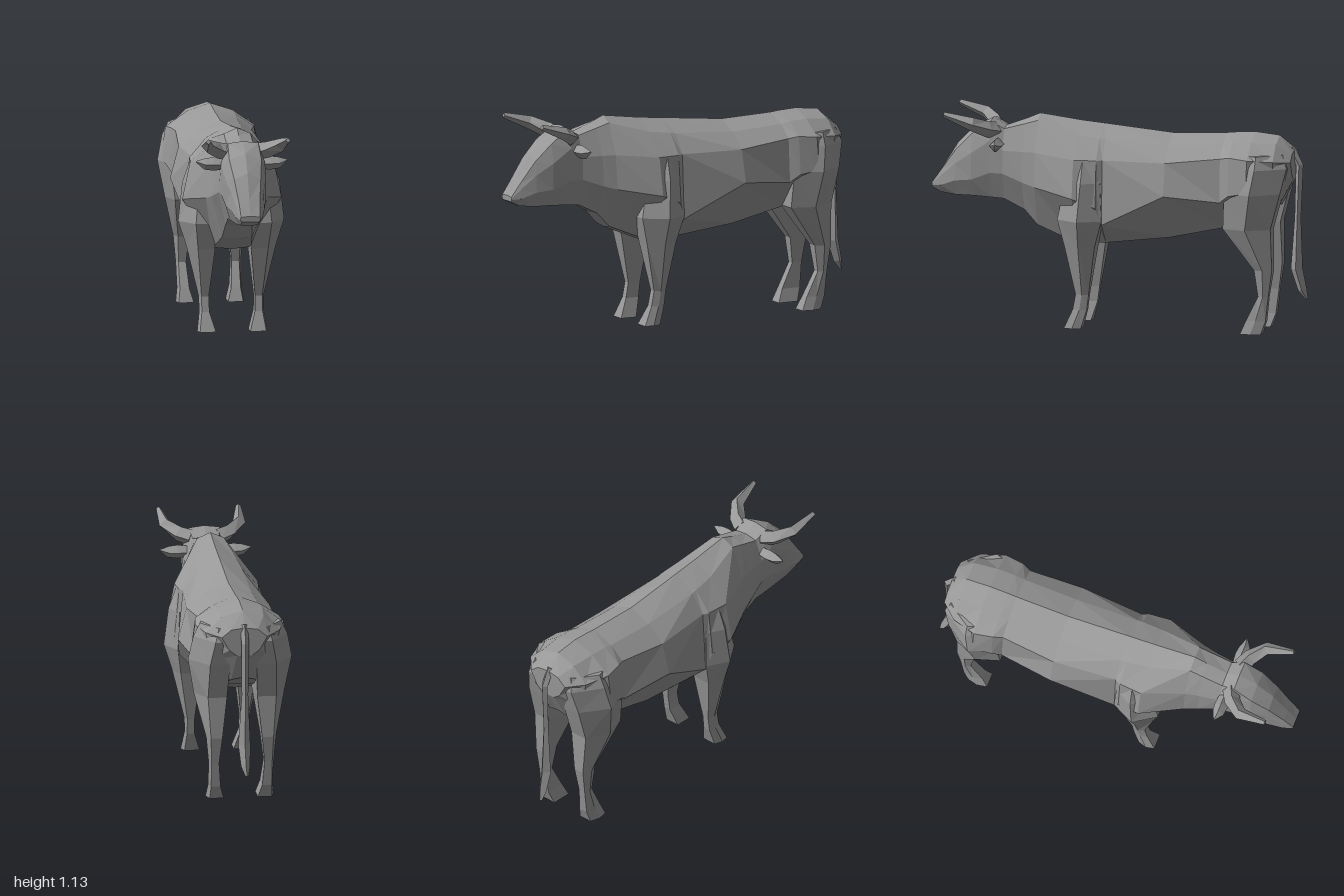
import * as THREE from 'three';

const V = (x, y, z) => new THREE.Vector3(x, y, z);

// Closed skin over a list of rings with equal point counts; always wound outwards
function loft(rings) {
  const n = rings[0].length;
  const tris = [];
  for (let i = 0; i < rings.length - 1; i++) {
    for (let j = 0; j < n; j++) {
      const k = (j + 1) % n;
      const a = rings[i][j], b = rings[i][k], c = rings[i + 1][k], d = rings[i + 1][j];
      if (j < n / 2) tris.push([a, b, c], [a, c, d]);
      else tris.push([a, b, d], [b, c, d]);
    }
  }
  const cap = (ring, flip) => {
    const mid = ring.reduce((s, p) => s.add(p), V(0, 0, 0)).divideScalar(n);
    ring.forEach((p, j) => {
      const q = ring[(j + 1) % n];
      tris.push(flip ? [mid, q, p] : [mid, p, q]);
    });
  };
  cap(rings[0], true);
  cap(rings[rings.length - 1], false);
  const volume = tris.reduce((s, [a, b, c]) => s + a.dot(b.clone().cross(c)), 0);
  if (volume < 0) tris.forEach((t) => t.reverse());
  const geometry = new THREE.BufferGeometry().setFromPoints(tris.flat());
  geometry.computeVertexNormals();
  return geometry;
}

// Symmetric section: z, top y, four x/y pairs down the side, bottom y
function section([z, top, ...rest]) {
  const bottom = rest.pop();
  const side = [];
  for (let i = 0; i < rest.length; i += 2) side.push([rest[i], rest[i + 1]]);
  return [
    V(0, top, z),
    ...side.map(([x, y]) => V(x, y, z)),
    V(0, bottom, z),
    ...side.reverse().map(([x, y]) => V(-x, y, z)),
  ];
}

// Leg section: height, back z, front z, then x of the inner, back, outer and front edges
function legRing([y, z0, z1, inner, back, outer, front], side) {
  return [[front, z1], [outer, (z0 + z1) / 2], [back, z0], [inner, z0], [inner, z1]]
    .map(([x, z]) => V(side * x, y, z));
}

// Tapered four-sided limb: x, y, z, radius per point
function taper(points, side = 1) {
  const path = points.map(([x, y, z]) => V(side * x, y, z));
  return loft(path.map((p, i) => {
    const dir = path[Math.min(i + 1, path.length - 1)].clone().sub(path[Math.max(i - 1, 0)]).normalize();
    const up = Math.abs(dir.y) > 0.8 ? V(0, 0, 1) : V(0, 1, 0);
    const u = dir.clone().cross(up).normalize();
    const v = u.clone().cross(dir);
    const r = points[i][3];
    return [0, 1, 2, 3].map((k) => p.clone()
      .addScaledVector(u, r * Math.cos(k * Math.PI / 2))
      .addScaledVector(v, r * Math.sin(k * Math.PI / 2)));
  }));
}

const HEAD = [
  [1.0, 0.735, 0.05, 0.73, 0.053, 0.725, 0.053, 0.715, 0.045, 0.705, 0.705],
  [0.95, 0.81, 0.055, 0.8, 0.065, 0.77, 0.07, 0.72, 0.045, 0.68, 0.675],
  [0.87, 0.94, 0.07, 0.91, 0.085, 0.84, 0.09, 0.75, 0.055, 0.67, 0.668],
  [0.78, 1.03, 0.085, 1.0, 0.11, 0.9, 0.105, 0.76, 0.065, 0.67, 0.665],
  [0.68, 1.08, 0.08, 1.07, 0.115, 0.97, 0.115, 0.8, 0.07, 0.665, 0.66],
  [0.61, 1.04, 0.07, 1.03, 0.115, 0.92, 0.12, 0.8, 0.07, 0.66, 0.655],
];

// Neck, shoulder bulge, barrel, hip bulge and rump
const TORSO = [
  [0.61, 1.04, 0.07, 1.03, 0.115, 0.92, 0.12, 0.8, 0.07, 0.66, 0.655],
  [0.5, 1.08, 0.07, 1.06, 0.13, 0.92, 0.145, 0.76, 0.07, 0.605, 0.6],
  [0.43, 1.11, 0.07, 1.08, 0.145, 0.92, 0.165, 0.74, 0.08, 0.53, 0.52],
  [0.21, 1.08, 0.11, 1.02, 0.22, 0.9, 0.262, 0.7, 0.1, 0.44, 0.43],
  [0.09, 1.068, 0.12, 1.005, 0.21, 0.9, 0.235, 0.65, 0.1, 0.45, 0.44],
  [0.06, 1.065, 0.12, 1.0, 0.195, 0.9, 0.215, 0.56, 0.1, 0.45, 0.44],
  [-0.28, 1.03, 0.12, 0.98, 0.22, 0.9, 0.265, 0.73, 0.11, 0.49, 0.475],
  [-0.57, 1.04, 0.12, 0.995, 0.2, 0.93, 0.215, 0.7, 0.1, 0.55, 0.54],
  [-0.62, 1.045, 0.12, 1.005, 0.22, 0.94, 0.24, 0.74, 0.1, 0.57, 0.56],
  [-0.72, 1.05, 0.12, 1.01, 0.235, 0.93, 0.26, 0.76, 0.1, 0.6, 0.6],
  [-0.85, 1.035, 0.11, 1.0, 0.195, 0.92, 0.17, 0.77, 0.06, 0.66, 0.67],
  [-0.93, 0.96, 0.07, 0.95, 0.12, 0.91, 0.08, 0.84, 0.04, 0.81, 0.81],
];

const FRONT_LEG = [
  [0.9, 0.1, 0.22, 0.1, 0.19, 0.215, 0.16],
  [0.78, 0.07, 0.26, 0.1, 0.21, 0.257, 0.18],
  [0.58, 0.06, 0.3, 0.1, 0.22, 0.28, 0.2],
  [0.44, 0.1, 0.265, 0.095, 0.2, 0.235, 0.185],
  [0.18, 0.14, 0.21, 0.122, 0.16, 0.172, 0.16],
  [0.1, 0.15, 0.225, 0.12, 0.16, 0.17, 0.16],
  [0, 0.18, 0.27, 0.09, 0.17, 0.185, 0.175],
];

const HIND_LEG = [
  [0.95, -0.89, -0.64, 0.05, 0.13, 0.215, 0.18],
  [0.88, -0.915, -0.61, 0.06, 0.15, 0.248, 0.2],
  [0.75, -0.885, -0.595, 0.07, 0.175, 0.275, 0.22],
  [0.56, -0.835, -0.585, 0.08, 0.18, 0.24, 0.2],
  [0.34, -0.84, -0.745, 0.105, 0.165, 0.185, 0.165],
  [0.2, -0.82, -0.765, 0.12, 0.16, 0.172, 0.16],
  [0.07, -0.805, -0.7, 0.11, 0.16, 0.17, 0.16],
  [0, -0.78, -0.67, 0.09, 0.165, 0.18, 0.17],
];

const HORN = [[0.07, 1.02, 0.66, 0.045], [0.13, 1.035, 0.69, 0.042], [0.195, 1.07, 0.76, 0.035], [0.21, 1.118, 0.905, 0.014]];
const EAR = [[0.09, 0.955, 0.635, 0.03], [0.15, 0.955, 0.635, 0.036], [0.195, 0.956, 0.635, 0.03], [0.24, 0.968, 0.63, 0.004]];
const TAIL = [[0, 0.97, -0.91, 0.02], [0, 0.88, -0.955, 0.02], [0, 0.6, -0.945, 0.017], [0.003, 0.33, -0.94, 0.032], [0, 0.22, -0.97, 0.024], [-0.005, 0.17, -0.992, 0.008]];

export function createModel() {
  const model = new THREE.Group();
  const hide = new THREE.MeshStandardMaterial({ color: 0x989898, flatShading: true });
  hide.name = 'greyHide';
  const add = (name, geometry) => {
    const mesh = new THREE.Mesh(geometry, hide);
    mesh.name = name;
    model.add(mesh);
  };

  // Head, trunk and tail on the centre line
  add('head', loft(HEAD.map(section)));
  add('torso', loft(TORSO.map(section)));
  add('tail', taper(TAIL));

  // Paired parts
  for (const [side, label] of [[1, 'left'], [-1, 'right']]) {
    add(label + 'FrontLeg', loft(FRONT_LEG.map((r) => legRing(r, side))));
    add(label + 'HindLeg', loft(HIND_LEG.map((r) => legRing(r, side))));
    add(label + 'Horn', taper(HORN, side));
    add(label + 'Ear', taper(EAR, side));
  }
  return model;
}
